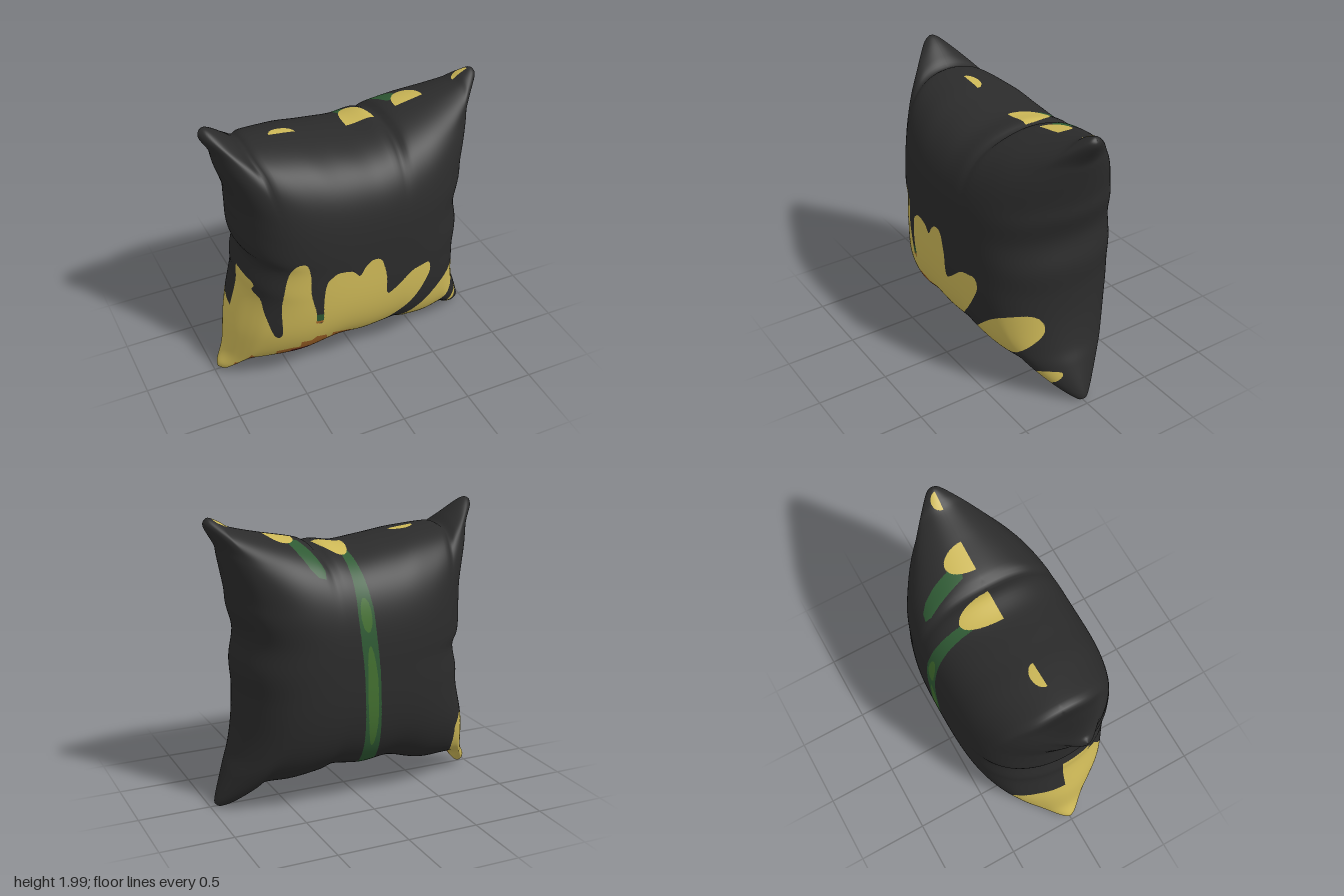
import * as THREE from 'three';

const N = 110; // grid cells along each side of a panel
const DETAIL = 3; // extra splits where two colours meet

const mat = (name, color) => Object.assign(new THREE.MeshStandardMaterial({ color }), { name });

// Flat [x, y, x, y, ...] list to points
const pts = (a) => {
  const out = [];
  for (let i = 0; i < a.length; i += 2) out.push(new THREE.Vector2(a[i], a[i + 1]));
  return out;
};
const smooth = (a) => new THREE.SplineCurve(pts(a)).getPoints(a.length * 2);

function inside(poly, x, y) {
  let hit = false;
  for (let i = 0, j = poly.length - 1; i < poly.length; j = i++) {
    const a = poly[i], b = poly[j];
    if ((a.y > y) !== (b.y > y) && x < ((b.x - a.x) * (y - a.y)) / (b.y - a.y) + a.x) hit = !hit;
  }
  return hit;
}

// Seam outline: four edges that share their end points
const seam = (a) => {
  const curve = new THREE.SplineCurve(pts(a));
  curve.arcLengthDivisions = 400;
  return curve;
};
const top = seam([-0.97, 1.98, -0.93, 2, -0.87, 1.97, -0.77, 1.89, -0.7, 1.83, -0.65, 1.85, -0.4, 1.83, -0.2, 1.8,
  0.03, 1.77, 0.2, 1.79, 0.27, 1.77, 0.34, 1.815, 0.6, 1.87, 0.8, 1.92, 0.87, 1.96, 0.94, 1.99, 0.97, 1.975]);
const bottom = seam([-0.975, 0.03, -0.93, 0.015, -0.89, 0.05, -0.83, 0.12, -0.7, 0.14, -0.5, 0.15, -0.22, 0.23, 0, 0.21,
  0.22, 0.24, 0.32, 0.2, 0.5, 0.17, 0.68, 0.16, 0.75, 0.1, 0.85, 0.03, 0.93, 0.005, 0.96, 0.02]);
const left = seam([-0.975, 0.03, -0.975, 0.08, -0.92, 0.2, -0.88, 0.45, -0.8, 0.75, -0.79, 0.88, -0.755, 1.05, -0.8, 1.15,
  -0.81, 1.35, -0.82, 1.5, -0.88, 1.7, -0.91, 1.83, -0.965, 1.93, -0.97, 1.98]);
const right = seam([0.96, 0.02, 0.965, 0.06, 0.89, 0.27, 0.84, 0.4, 0.8, 0.6, 0.79, 0.8, 0.8, 1, 0.77, 1.2,
  0.815, 1.38, 0.83, 1.5, 0.88, 1.72, 0.9, 1.8, 0.975, 1.93, 0.97, 1.975]);

// Printed shapes on the front panel (x, y)
const petals = smooth([-1.1, -0.1, -1.1, 0.9, -0.78, 0.9, -0.76, 0.82, -0.73, 0.78, -0.72, 0.68, -0.69, 0.55, -0.66, 0.5,
  -0.63, 0.54, -0.63, 0.75, -0.6, 0.95, -0.56, 1.09, -0.51, 1.135, -0.47, 1.12, -0.45, 1.02, -0.45, 0.88, -0.42, 0.73,
  -0.41, 0.63, -0.37, 0.63, -0.37, 0.8, -0.35, 0.95, -0.31, 1, -0.26, 1.025, -0.17, 1.01, -0.12, 0.96, -0.08, 1.02,
  -0.03, 1.06, 0.03, 1.05, 0.06, 0.98, 0.08, 0.88, 0.09, 0.74, 0.15, 0.76, 0.27, 0.86, 0.35, 0.88, 0.41, 0.88,
  0.43, 0.82, 0.41, 0.75, 0.32, 0.6, 0.2, 0.47, 0.11, 0.38, 0.16, 0.36, 0.19, 0.33, 0.3, 0.4, 0.5, 0.58, 0.62, 0.65,
  0.73, 0.67, 0.77, 0.58, 0.76, 0.48, 0.68, 0.38, 0.5, 0.29, 0.27, 0.24, 0.25, 0.1, 0.2, -0.1]);
const lowPetal = smooth([0.25, 0.23, 0.5, 0.205, 0.69, 0.19, 0.78, 0.24, 0.87, 0.24, 0.87, 0.18, 0.8, 0.13, 0.74, 0.12,
  0.7, 0.16, 0.5, 0.15, 0.25, 0.15]);
const orangeShapes = [
  pts([-0.64, 0.18, -0.65, 0.33, -0.55, 0.36, -0.5, 0.36, -0.5, 0.43, -0.43, 0.43, -0.4, 0.47, -0.33, 0.46, -0.31, 0.4,
    -0.28, 0.41, -0.28, 0.46, -0.13, 0.41, -0.12, 0.35, -0.09, 0.3, -0.11, 0.2, -0.25, 0.15, -0.55, 0.1]),
  pts([-0.83, 0.19, -0.8, 0.27, -0.78, 0.25, -0.77, 0.2]),
  pts([-0.89, 0.14, -0.85, 0.15, -0.83, 0.1, -0.86, 0.07, -0.9, 0.07]),
  pts([-0.42, 0.62, -0.42, 0.64, -0.37, 0.64, -0.37, 0.62]),
];
const redShapes = [
  pts([-0.57, 0.2, -0.55, 0.33, -0.4, 0.345, -0.18, 0.345, -0.17, 0.3, -0.25, 0.25, -0.26, 0.1, -0.5, 0.1]),
  pts([-0.18, 0.34, -0.12, 0.35, -0.12, 0.28, -0.17, 0.28]),
];

// Printed shapes on the back panel: petal tips folded over the seam [centre x, half width, depth]
const topTips = [[-0.42, 0.09, 0.065], [0.135, 0.105, 0.26], [0.49, 0.1, 0.17], [0.87, 0.055, 0.055]];
const bottomTips = [[-0.6, 0.2, 0.17], [-0.2, 0.1, 0.16], [0.68, 0.06, 0.19], [0.87, 0.05, 0.06]];
const cornerPetal = pts([-1.1, -0.1, -0.8, 0.08, -0.72, 0.27, -0.7, 0.44, -0.74, 0.53, -0.82, 0.56, -1, 0.56]);
const leaf = pts([0.38, -0.1, 0.47, -0.08, 0.47, -0.16, 0.44, -0.28, 0.4, -0.37, 0.36, -0.41, 0.31, -0.42, 0.3, -0.38,
  0.34, -0.25]); // x, z
const stemPoints = new THREE.SplineCurve(
  pts([-0.05, 0.2, 0, 0.4, 0.03, 0.8, 0.04, 1, 0.07, 1.3, 0.08, 1.45, 0.1, 1.75])).getPoints(200);

// Material slots: 0 cloth, 1 petal, 2 orange, 3 red, 4 green, 5 light green
function frontColour({ x, y }) {
  if (redShapes.some((s) => inside(s, x, y))) return 3;
  if (orangeShapes.some((s) => inside(s, x, y))) return 2;
  if (inside(petals, x, y) || inside(lowPetal, x, y)) return 1;
  return x > -0.43 && x < -0.37 && y > 0.63 && y < 0.7 ? 4 : 0;
}

function backColour({ x, y, z }) {
  const tips = y > 1 ? topTips : bottomTips;
  const nearEnds = Math.abs(y - 1) > Math.max(Math.abs(x), 0.5);
  if (nearEnds && tips.some(([cx, w, d]) => ((x - cx) / w) ** 2 + (z / d) ** 2 < 1)) return 1;
  if (inside(cornerPetal, x, y)) return 1;
  if (y > 1.2 && inside(leaf, x, z)) return 4;
  if (y > 0.2 && z < -0.15) {
    const c = stemPoints.find((p) => p.y >= y) ?? stemPoints.at(-1);
    const d = Math.abs(x - c.x);
    const light = Math.max(1 - ((y - 0.82) / 0.36) ** 2, 1 - ((y - 1.38) / 0.11) ** 2);
    if (light > 0 && d < 0.038 * Math.sqrt(light)) return 5;
    if (d < (y > 1.4 ? 0.057 - 0.07 * (y - 1.4) : 0.057)) return 4;
  }
  return 0;
}

// Smooth indexed surface of one panel: blended seam outline plus a puffed-up depth
function panelSurface(side) {
  // Finer spacing towards the seam, where the cloth curves most
  const param = Array.from({ length: N + 1 }, (_, i) => {
    const s = (2 * i) / N - 1;
    return 1.5 * s - 0.5 * s ** 3;
  });
  const sample = (curve) => param.map((u) => curve.getPointAt((u + 1) / 2));
  const [T, B, L, R] = [top, bottom, left, right].map(sample);
  const lerp = THREE.MathUtils.lerp;
  const pos = [], index = [];
  param.forEach((v, j) => param.forEach((u, i) => {
    const s = (u + 1) / 2, t = (v + 1) / 2;
    // Each edge's wobble fades quickly towards the middle of the panel
    const blend = (k) => lerp(lerp(B[0][k], B[N][k], s), lerp(T[0][k], T[N][k], s), t)
      + t ** 4 * (T[i][k] - lerp(T[0][k], T[N][k], s)) + (1 - t) ** 4 * (B[i][k] - lerp(B[0][k], B[N][k], s))
      + s ** 4 * (R[j][k] - lerp(R[0][k], R[N][k], t)) + (1 - s) ** 4 * (L[j][k] - lerp(L[0][k], L[N][k], t));
    // Round at the seams, pointed at the corners, with soft creases
    const crease = 0.008 * (v ** 6 * Math.sin(21 * u + 3 * v) + u ** 6 * Math.sin(19 * v + 2 * u));
    const puff = Math.sqrt(Math.max(0, (1 - Math.abs(u) ** 3) * (1 - Math.abs(v) ** 3)));
    pos.push(blend('x'), blend('y'), side * puff * (0.543 + crease));
    if (i < N && j < N) {
      const a = j * (N + 1) + i, b = a + 1, d = a + N + 1, c = d + 1;
      index.push(...(side > 0 ? [a, b, c, a, c, d] : [a, c, b, a, d, c]));
    }
  }));
  const geo = new THREE.BufferGeometry();
  geo.setAttribute('position', new THREE.Float32BufferAttribute(pos, 3));
  geo.setIndex(index);
  geo.computeVertexNormals();
  return geo;
}

function panel(side, colourAt, materials) {
  const surface = panelSurface(side);
  const { position, normal } = surface.attributes;
  const corners = Array.from({ length: position.count }, (_, i) => {
    const p = new THREE.Vector3().fromBufferAttribute(position, i);
    return { p, n: new THREE.Vector3().fromBufferAttribute(normal, i), c: colourAt(p) };
  });
  const middle = (a, b) => {
    const p = a.p.clone().lerp(b.p, 0.5);
    return { p, n: a.n.clone().lerp(b.n, 0.5).normalize(), c: colourAt(p) };
  };

  // Sort triangles by colour, splitting those on a colour border
  const buckets = materials.map(() => []);
  const add = (a, b, c, depth) => {
    const centre = colourAt(a.p.clone().add(b.p).add(c.p).divideScalar(3));
    if (depth === 0 || (a.c === centre && b.c === centre && c.c === centre)) {
      buckets[centre].push(a, b, c);
      return;
    }
    const ab = middle(a, b), bc = middle(b, c), ca = middle(c, a);
    for (const tri of [[a, ab, ca], [ab, b, bc], [ca, bc, c], [ab, bc, ca]]) add(...tri, depth - 1);
  };
  const idx = surface.index.array;
  for (let i = 0; i < idx.length; i += 3) add(corners[idx[i]], corners[idx[i + 1]], corners[idx[i + 2]], DETAIL);

  const all = buckets.flat();
  const geo = new THREE.BufferGeometry();
  geo.setAttribute('position', new THREE.Float32BufferAttribute(all.flatMap((v) => v.p.toArray()), 3));
  geo.setAttribute('normal', new THREE.Float32BufferAttribute(all.flatMap((v) => v.n.toArray()), 3));
  let start = 0;
  buckets.forEach((bucket, m) => {
    if (bucket.length) geo.addGroup(start, bucket.length, m);
    start += bucket.length;
  });
  return new THREE.Mesh(geo, materials);
}

export function createModel() {
  const materials = [
    mat('charcoal cloth', 0x2b2b2b), mat('yellow petal', 0xcdb857), mat('orange', 0xa8682a),
    mat('dark red', 0x6a2620), mat('stem green', 0x2f5a34), mat('light green', 0x437030),
  ];
  const pillow = new THREE.Group();
  pillow.name = 'pillow';
  const front = panel(1, frontColour, materials);
  front.name = 'frontPanel';
  const back = panel(-1, backColour, materials);
  back.name = 'backPanel';
  pillow.add(front, back);
  return pillow;
}
